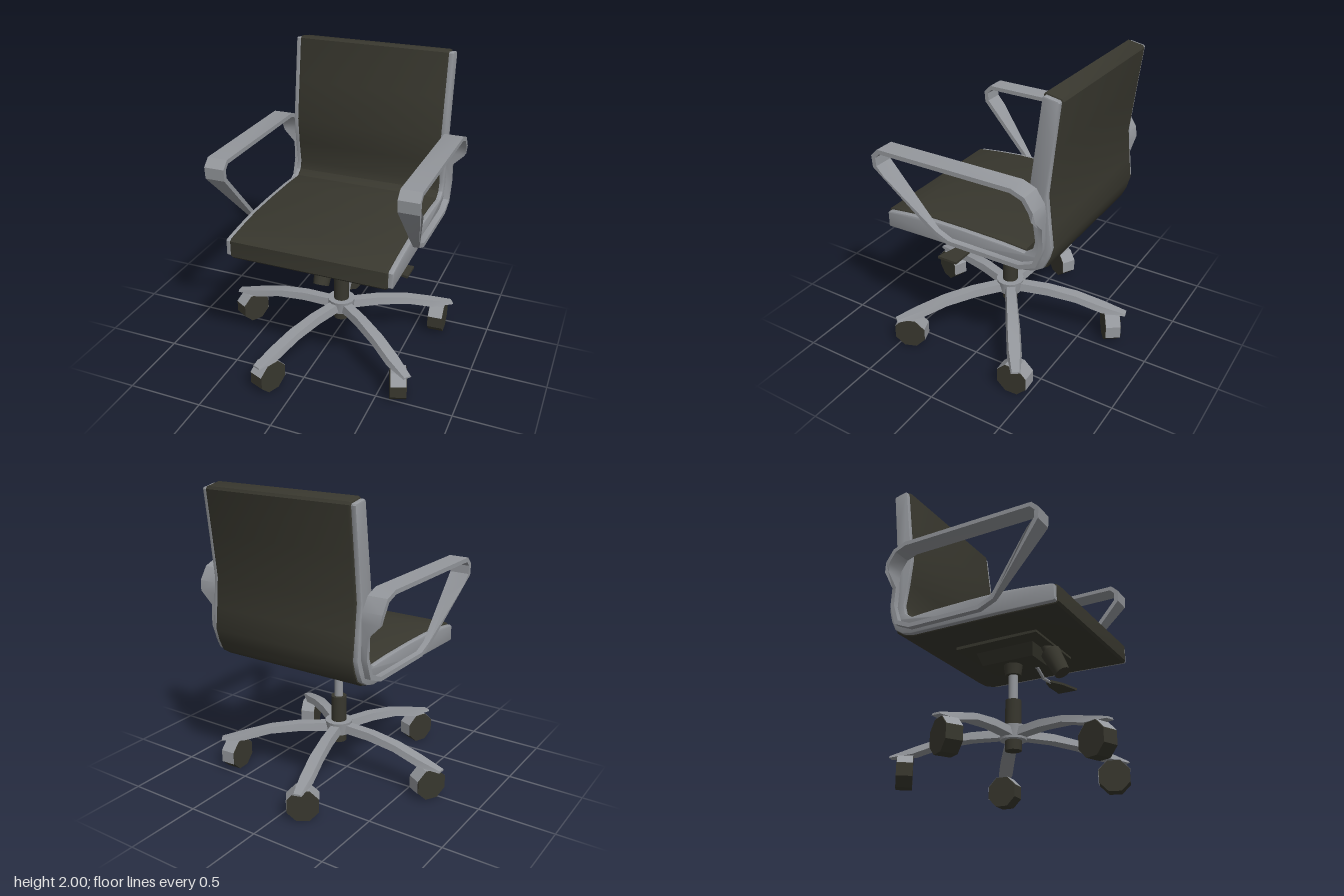
import * as THREE from 'three';
import { toCreasedNormals } from 'three/addons/utils/BufferGeometryUtils.js';

const dark = new THREE.MeshStandardMaterial({ color: 0x38372e });
dark.name = 'dark upholstery';
const metal = new THREE.MeshStandardMaterial({ color: 0x94979c, side: THREE.DoubleSide });
metal.name = 'grey metal';

const rad = THREE.MathUtils.degToRad;
const CX = 0.065; // the seat and column stand slightly off centre

function add(parent, name, geometry, material, x = 0, y = 0, z = 0) {
  const mesh = new THREE.Mesh(geometry, material);
  mesh.name = name;
  mesh.position.set(x, y, z);
  parent.add(mesh);
  return mesh;
}

// Extrudes a (z, y) outline along x, from x0 to x1
function extrudeX(shape, x0, x1, bevel = 0, inset = 0) {
  const geo = new THREE.ExtrudeGeometry(shape, {
    depth: x1 - x0 - 2 * bevel, bevelEnabled: bevel > 0, bevelThickness: bevel,
    bevelSize: bevel, bevelOffset: -bevel - inset, bevelSegments: 2,
  });
  geo.rotateY(-Math.PI / 2);
  geo.translate(x1 - bevel, 0, 0);
  return geo;
}

const toShape = pts => new THREE.Shape(pts.map(p => new THREE.Vector2(p[0], p[1])));

// Cylinder between two points
function rod(parent, name, a, b, ra, rb, material, sides = 12) {
  const from = new THREE.Vector3(...a), to = new THREE.Vector3(...b);
  const dir = to.clone().sub(from);
  const geo = toCreasedNormals(new THREE.CylinderGeometry(rb, ra, dir.length(), sides), 0.7);
  const mesh = add(parent, name, geo, material);
  mesh.position.copy(from).add(to).multiplyScalar(0.5);
  mesh.quaternion.setFromUnitVectors(new THREE.Vector3(0, 1, 0), dir.normalize());
}

// Side outline of the one-piece seat and back
const bodyOutline = [
  [0.585, 0.87], [0.57, 0.855], [0.2, 0.865], [-0.44, 0.872], [-0.51, 0.892], [-0.568, 0.93],
  [-0.6, 1.0], [-0.622, 1.08], [-0.605, 1.22], [-0.585, 1.41], [-0.615, 1.69], [-0.646, 1.965],
  [-0.635, 1.982], [-0.54, 2.0], [-0.522, 1.985], [-0.485, 1.7], [-0.45, 1.43], [-0.468, 1.25],
  [-0.49, 1.1], [-0.475, 1.045], [-0.43, 1.012], [-0.27, 1.022], [0, 1.026], [0.23, 1.024],
  [0.4, 1.01], [0.565, 0.99], [0.585, 0.975],
];

// Centre line of the armrest loop; extra points on the slopes carry the taper
const armPath = [
  [0.08, 0.922], [-0.42, 0.922], [-0.52, 0.965], [-0.562, 1.09], [-0.556, 1.22], [-0.56, 1.3],
  [-0.55, 1.36], [-0.5, 1.435], [-0.42, 1.465], [0.495, 1.465], [0.535, 1.425], [0.53, 1.36],
  [0.477, 1.3], [0.406, 1.22], [0.18, 0.965],
];

function offsetLoop(pts, d) {
  return pts.map((p, i) => {
    const a = pts[(i + pts.length - 1) % pts.length], b = pts[(i + 1) % pts.length];
    const u = new THREE.Vector2(p[0] - a[0], p[1] - a[1]).normalize();
    const v = new THREE.Vector2(b[0] - p[0], b[1] - p[1]).normalize();
    const m = u.clone().add(v).normalize();
    const k = d / m.dot(u);
    return [p[0] - m.y * k, p[1] + m.x * k];
  });
}

function armGeometry() {
  const shape = toShape(offsetLoop(armPath, 0.014));
  shape.holes.push(toShape(offsetLoop(armPath, -0.014)));
  const geo = extrudeX(shape, 0, 1);
  const pos = geo.attributes.position;
  for (let i = 0; i < pos.count; i++) {
    const wide = THREE.MathUtils.clamp((pos.getY(i) - 1.22) / 0.09, 0, 1);
    pos.setX(i, 0.544 + pos.getX(i) * (0.041 + 0.09 * wide));
  }
  return toCreasedNormals(geo, 0.6);
}

// Arched leg along +x: [distance, top, bottom, width]
const legStations = [
  [0.04, 0.335, 0.28, 0.08], [0.27, 0.332, 0.28, 0.085], [0.47, 0.305, 0.262, 0.095],
  [0.65, 0.257, 0.212, 0.095], [0.81, 0.215, 0.203, 0.06],
];

function legGeometry() {
  const geo = new THREE.BoxGeometry(4, 2, 2, 4, 1, 1);
  const pos = geo.attributes.position;
  for (let i = 0; i < pos.count; i++) {
    const [r, top, bottom, width] = legStations[Math.round(pos.getX(i) + 2)];
    const up = pos.getY(i) > 0;
    pos.setXYZ(i, r, up ? top : bottom, pos.getZ(i) * width * (up ? 0.38 : 0.5));
  }
  return toCreasedNormals(geo, 0.6);
}

export function createModel() {
  const chair = new THREE.Group();
  chair.name = 'officeChair';
  const body = new THREE.Group();
  body.name = 'chairBody';
  body.position.x = CX;
  chair.add(body);

  // Upholstered shell with a grey frame panel and an armrest on each side
  const outline = toShape(bodyOutline);
  add(body, 'seatAndBack', toCreasedNormals(extrudeX(outline, -0.517, 0.517, 0.018), 0.6), dark);
  for (const side of [1, -1]) {
    const x0 = side > 0 ? 0.505 : -0.545;
    const panel = extrudeX(outline, x0, x0 + 0.04, 0.007, 0.012);
    add(body, side > 0 ? 'leftFrame' : 'rightFrame', toCreasedNormals(panel, 0.6), metal);
    const arm = add(body, side > 0 ? 'leftArmrest' : 'rightArmrest', armGeometry(), metal);
    arm.scale.x = side;
  }

  // Tilt mechanism under the seat
  add(body, 'mountingPlate', new THREE.BoxGeometry(0.5, 0.02, 0.58), dark, 0, 0.857, 0.01);
  const housing = new THREE.BoxGeometry(0.29, 0.09, 0.42);
  const hp = housing.attributes.position;
  for (let i = 0; i < hp.count; i++) {
    if (hp.getY(i) < 0) hp.setXYZ(i, hp.getX(i) * 0.66, hp.getY(i), hp.getZ(i) * 0.87);
  }
  housing.computeVertexNormals();
  add(body, 'tiltHousing', toCreasedNormals(housing, 0.3), dark, 0, 0.815, 0.01);
  rod(body, 'knobNeck', [0, 0.87, 0.235], [0, 0.79, 0.28], 0.036, 0.036, dark);
  rod(body, 'tensionKnob', [0, 0.807, 0.273], [0, 0.653, 0.353], 0.066, 0.052, dark);

  // Height lever
  const lever = [[0.09, 0.79, 0.1], [0.155, 0.79, 0.1], [0.235, 0.745, 0.1], [0.32, 0.742, 0.11]];
  for (let i = 0; i < 3; i++) rod(body, 'leverRod', lever[i], lever[i + 1], 0.011, 0.011, metal, 8);
  const paddle = toShape([[0.3, 0.085], [0.3, 0.125], [0.38, 0.17], [0.525, 0.21], [0.525, 0.07], [0.38, 0.07]]);
  const paddleGeo = new THREE.ExtrudeGeometry(paddle, { depth: 0.016, bevelEnabled: false });
  paddleGeo.rotateX(Math.PI / 2);
  add(body, 'leverPaddle', paddleGeo, dark, 0, 0.75, 0);

  // Gas column
  rod(body, 'columnCollar', [0, 0.7, 0], [0, 0.78, 0], 0.052, 0.064, dark, 16);
  rod(body, 'piston', [0, 0.5, 0], [0, 0.72, 0], 0.03, 0.03, metal, 16);
  rod(body, 'columnSleeve', [0, 0.2, 0], [0, 0.53, 0], 0.052, 0.052, dark, 16);
  rod(body, 'baseHub', [0, 0.265, 0], [0, 0.352, 0], 0.085, 0.094, metal, 15);

  // Five legs, each with a swivelled caster: [leg angle, axle angle] from +x towards +z
  const legs = [[38, -20], [110, 22], [182, 30], [254, 54], [326, -3]];
  const legGeo = legGeometry();
  const wheel = new THREE.CylinderGeometry(0.108, 0.108, 0.104, 8).toNonIndexed();
  wheel.computeVertexNormals();
  wheel.rotateY(Math.PI / 8);
  wheel.rotateZ(Math.PI / 2);
  const hood = new THREE.CylinderGeometry(0.112, 0.112, 0.1, 4, 1, true, rad(22.5), Math.PI).toNonIndexed();
  hood.computeVertexNormals();
  hood.rotateZ(Math.PI / 2);
  legs.forEach(([angle, axle]) => {
    const leg = add(body, 'baseLeg', legGeo, metal);
    leg.rotation.y = -rad(angle);
    const caster = new THREE.Group();
    caster.name = 'caster';
    caster.position.set(0.71 * Math.cos(rad(angle)), 0.104, 0.71 * Math.sin(rad(angle)));
    caster.rotation.y = -rad(axle);
    body.add(caster);
    add(caster, 'casterWheel', wheel, dark);
    add(caster, 'casterHood', hood, metal);
    add(caster, 'casterStem', new THREE.CylinderGeometry(0.02, 0.02, 0.05, 8), metal, 0, 0.1, 0);
  });
  return chair;
}
